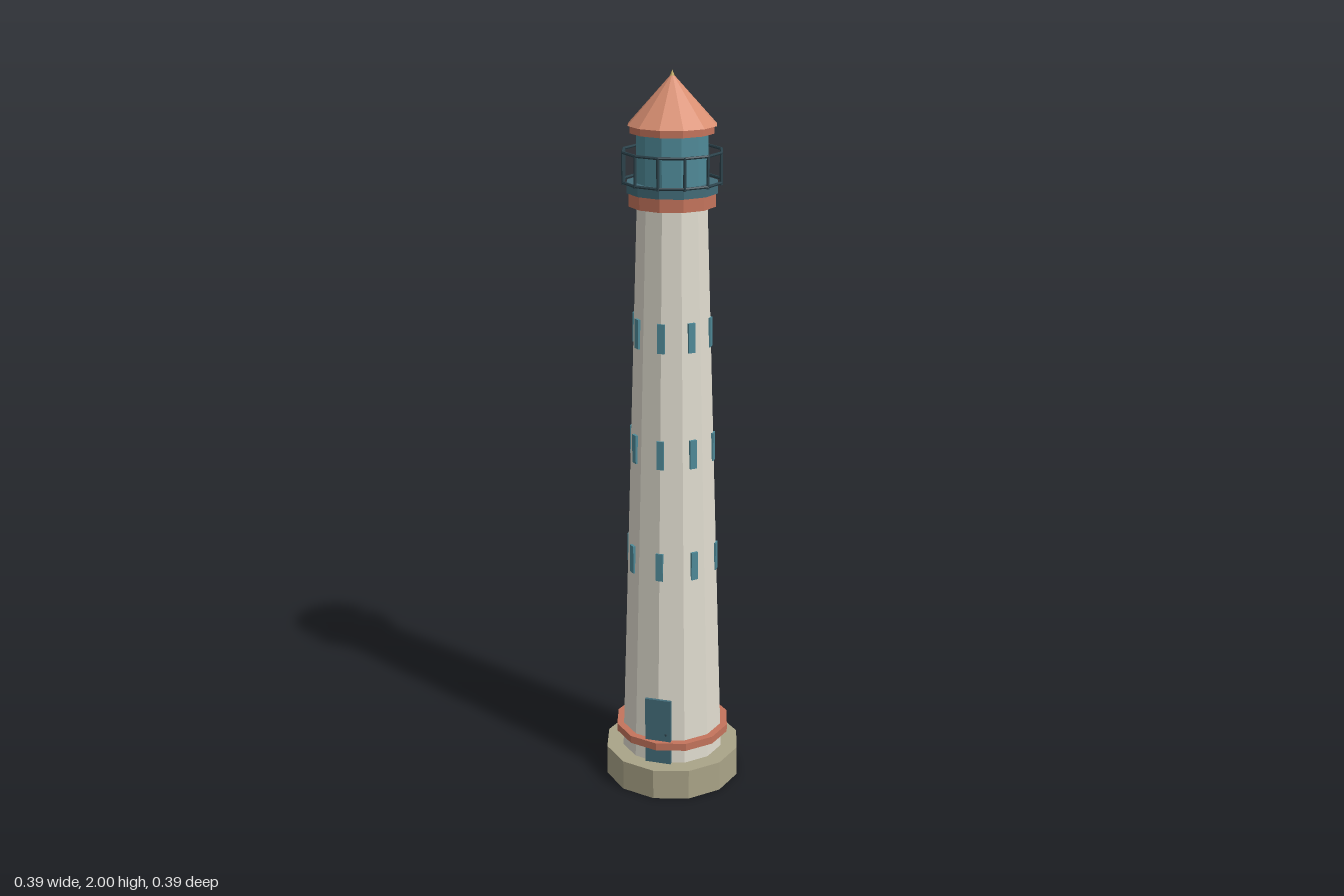
import * as THREE from 'three';

const SIDES = 12;
const mat = (color) => new THREE.MeshStandardMaterial({ color, flatShading: true });

export function createModel() {
  const group = new THREE.Group();
  const stone = mat(0xaaa488), plaster = mat(0xe0dccf), terracotta = mat(0xc4745c);
  const roofMat = mat(0xd98f72), teal = mat(0x426b78), glass = mat(0x4f8a98);
  const iron = mat(0x2c434c), brass = mat(0xc0a860);

  const add = (name, geometry, material, parent = group) => {
    const mesh = new THREE.Mesh(geometry, material);
    mesh.name = name;
    parent.add(mesh);
    return mesh;
  };
  // Twelve-sided drum spanning y0 to y1
  const drum = (name, y0, y1, r0, r1, material) => {
    const mesh = add(name, new THREE.CylinderGeometry(r1, r0, y1 - y0, SIDES), material);
    mesh.position.y = (y0 + y1) / 2;
    return mesh;
  };

  // Foundation, tapering tower and trim bands
  const Y0 = 0.088, Y1 = 1.66, R0 = 0.145, R1 = 0.095;
  const towerRadius = (y) => R0 + (R1 - R0) * (y - Y0) / (Y1 - Y0);
  drum('foundation', 0, Y0, 0.193, 0.193, stone);
  drum('tower', Y0, Y1, R0, R1, plaster);
  drum('baseBand', 0.136, 0.158, 0.163, 0.163, terracotta);
  drum('galleryCollar', 1.655, 1.69, 0.117, 0.117, terracotta);

  // Gallery deck and lantern room
  drum('galleryDeck', 1.69, 1.715, 0.122, 0.122, teal);
  drum('lanternRoom', 1.715, 1.845, 0.096, 0.096, glass);

  // Roof with eave band and finial
  drum('eaveBand', 1.843, 1.862, 0.112, 0.112, terracotta);
  drum('roof', 1.862, 1.985, 0.118, 0.006, roofMat);
  const finial = add('finial', new THREE.ConeGeometry(0.014, 0.034, 8), brass);
  finial.position.y = 1.983;

  // Three rows of eight windows
  const windows = new THREE.Group();
  windows.name = 'windows';
  group.add(windows);
  const windowGeometry = new THREE.BoxGeometry(0.02, 0.08, 0.01);
  for (const y of [0.68, 1.0, 1.32]) {
    for (let i = 0; i < 8; i++) {
      const a = i * Math.PI / 4, r = towerRadius(y) * 0.976;
      const pane = add('window', windowGeometry, glass, windows);
      pane.position.set(Math.sin(a) * r, y, Math.cos(a) * r);
      pane.rotation.y = a;
    }
  }

  // Door with knob
  const door = add('door', new THREE.BoxGeometry(0.074, 0.197, 0.008), teal);
  door.position.set(0, 0.1865, 0.142);
  const knob = add('doorKnob', new THREE.SphereGeometry(0.004, 6, 4), iron);
  knob.position.set(0.024, 0.18, 0.147);

  // Gallery railing
  const railing = new THREE.Group();
  railing.name = 'railing';
  group.add(railing);
  const railGeometry = new THREE.TorusGeometry(0.131, 0.004, 6, SIDES);
  for (const y of [1.718, 1.795]) {
    const rail = add('rail', railGeometry, iron, railing);
    rail.rotation.x = Math.PI / 2;
    rail.position.y = y;
  }
  const postGeometry = new THREE.CylinderGeometry(0.004, 0.004, 0.085, 6);
  for (let i = 0; i < SIDES; i++) {
    const a = i * 2 * Math.PI / SIDES;
    const post = add('railingPost', postGeometry, iron, railing);
    post.position.set(Math.sin(a) * 0.131, 1.755, Math.cos(a) * 0.131);
  }

  return group;
}
